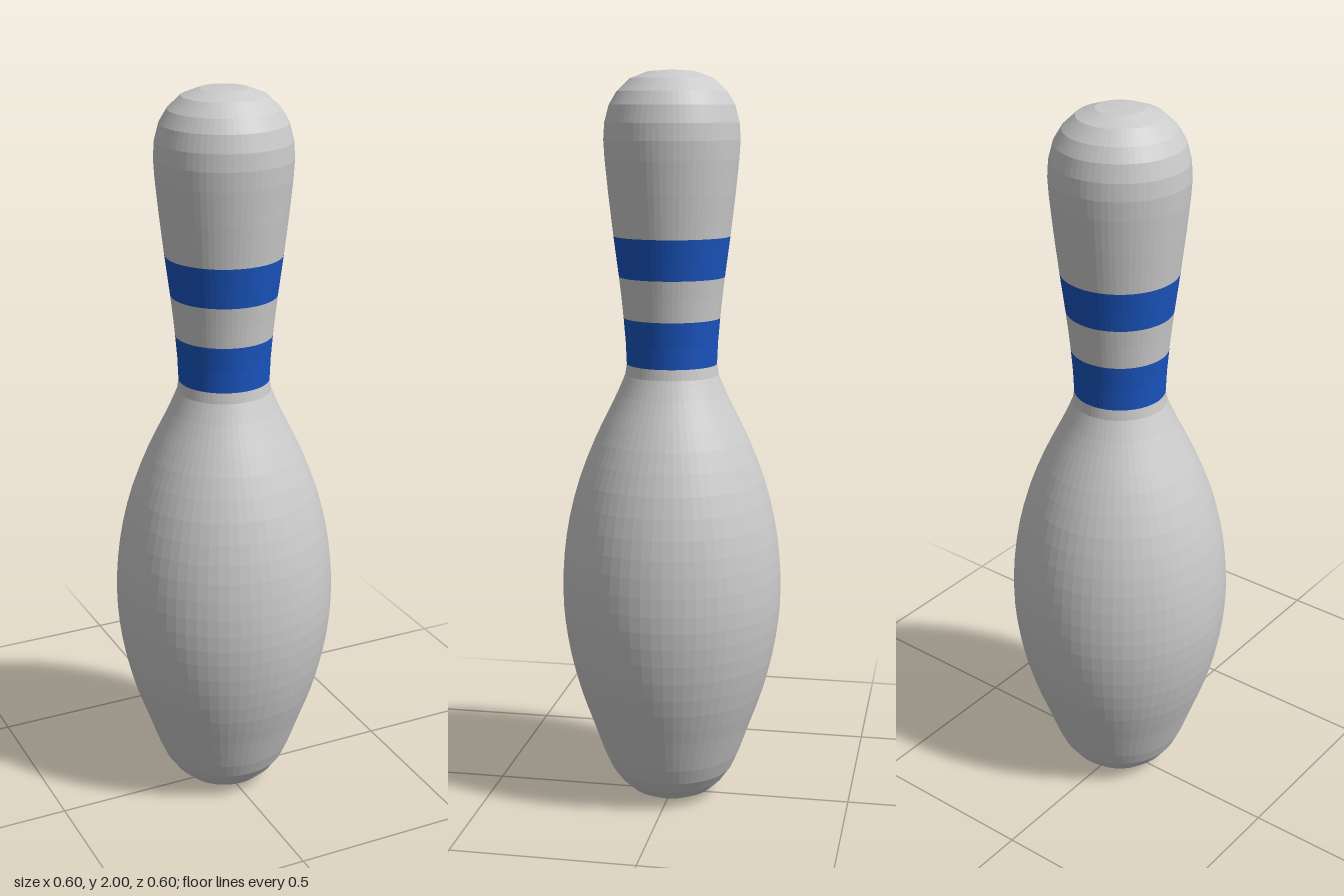
import * as THREE from 'three';

// Profile points [radius, height], bottom to top
const PROFILE = [
  [0, 0], [0.075, 0.003], [0.115, 0.022], [0.145, 0.05], [0.17, 0.085], [0.19, 0.13],
  [0.222, 0.22], [0.254, 0.31], [0.28, 0.41], [0.296, 0.51], [0.301, 0.6], [0.296, 0.7],
  [0.281, 0.8], [0.252, 0.91], [0.209, 1.02], [0.165, 1.11], [0.135, 1.175], [0.122, 1.225],
  [0.13, 1.35], [0.142, 1.46], [0.156, 1.568],
  [0.169, 1.68], [0.178, 1.77], [0.181, 1.82], [0.178, 1.865], [0.166, 1.91],
  [0.145, 1.945], [0.11, 1.978], [0.062, 1.996], [0, 2],
];

// Each section spans profile points from..to, with a number of steps per span
const SECTIONS = [
  ['base', 0, 5, 1, 0xcccccc],
  ['belly', 5, 17, 2, 0xcccccc],
  ['lowerStripe', 17, 18, 2, 0x1a55c0],
  ['neck', 18, 19, 2, 0xcccccc],
  ['upperStripe', 19, 20, 2, 0x1a55c0],
  ['head', 20, 24, 1, 0xcccccc],
  ['crown', 24, 29, 1, 0xcccccc],
];

export function createModel() {
  const pin = new THREE.Group();
  pin.name = 'bowlingPin';
  const curve = new THREE.SplineCurve(PROFILE.map(([r, y]) => new THREE.Vector2(r, y)));

  // Revolve each section of the shared profile
  for (const [name, from, to, steps, color] of SECTIONS) {
    const points = [];
    for (let i = from * steps; i <= to * steps; i++) {
      const p = curve.getPoint(i / steps / (PROFILE.length - 1));
      points.push(new THREE.Vector2(Math.max(p.x, 0), p.y));
    }
    const mesh = new THREE.Mesh(
      new THREE.LatheGeometry(points, 64),
      new THREE.MeshStandardMaterial({ color, flatShading: true }),
    );
    mesh.name = name;
    pin.add(mesh);
  }
  return pin;
}
